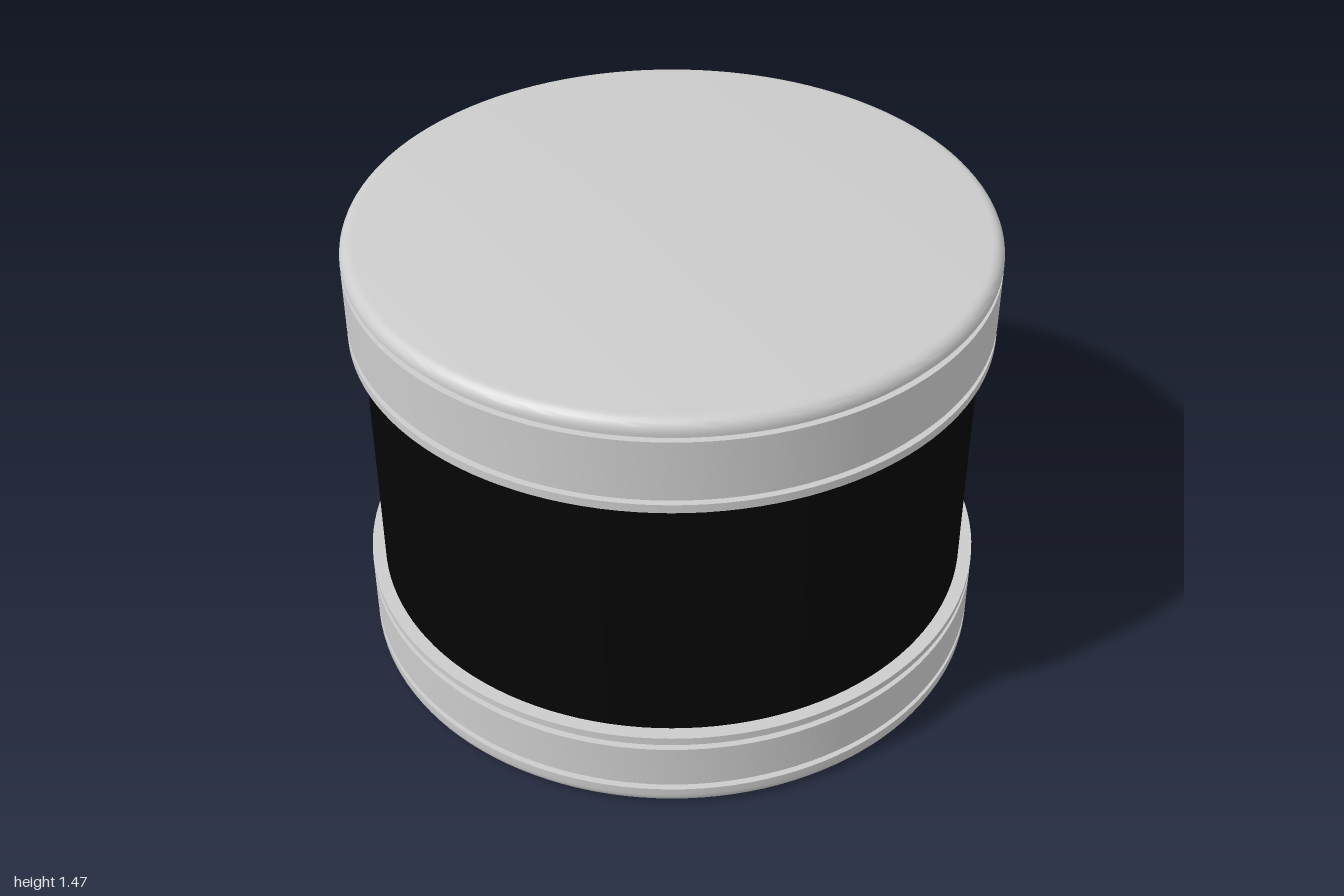
import * as THREE from 'three';
import { toCreasedNormals } from 'three/addons/utils/BufferGeometryUtils.js';

const SEGMENTS = 128;
const RADIUS = 1;
const GROOVE_RADIUS = 0.98;
const BODY_RADIUS = 0.957;
const ROUND = 0.04;

// Quarter-round between a flat end and the side wall, listed from bottom to top
function roundedEdge(y, atTop) {
  const points = [];
  for (let i = 0; i <= 6; i++) {
    const a = (i / 6) * Math.PI / 2;
    points.push(atTop
      ? [RADIUS - ROUND + ROUND * Math.cos(a), y - ROUND + ROUND * Math.sin(a)]
      : [RADIUS - ROUND + ROUND * Math.sin(a), y + ROUND - ROUND * Math.cos(a)]);
  }
  return points;
}

// Square groove cut into the side wall
function groove(low, high) {
  return [[RADIUS, low], [GROOVE_RADIUS, low], [GROOVE_RADIUS, high], [RADIUS, high]];
}

function turned(name, profile, material) {
  const points = profile.map(([r, y]) => new THREE.Vector2(r, y));
  const geometry = toCreasedNormals(new THREE.LatheGeometry(points, SEGMENTS), 0.5);
  const mesh = new THREE.Mesh(geometry, material);
  mesh.name = name;
  return mesh;
}

export function createModel() {
  const group = new THREE.Group();
  group.name = 'cappedDrum';
  const grey = new THREE.MeshStandardMaterial({ color: 0xcccccc });
  const black = new THREE.MeshStandardMaterial({ color: 0x050505 });

  // Base cap with a rounded foot and two grooves
  group.add(turned('baseCap', [
    [0, 0], ...roundedEdge(0, false),
    ...groove(0.065, 0.088), ...groove(0.237, 0.262),
    [RADIUS, 0.285], [0, 0.285],
  ], grey));

  // Dark cylindrical body between the caps
  const body = new THREE.Mesh(
    new THREE.CylinderGeometry(BODY_RADIUS, BODY_RADIUS, 0.92, SEGMENTS), black);
  body.name = 'body';
  body.position.y = 0.72;
  group.add(body);

  // Lid with a rounded top edge and two grooves
  group.add(turned('lid', [
    [0, 1.16], [RADIUS, 1.16],
    ...groove(1.188, 1.213), ...groove(1.404, 1.428),
    ...roundedEdge(1.47, true), [0, 1.47],
  ], grey));

  return group;
}
